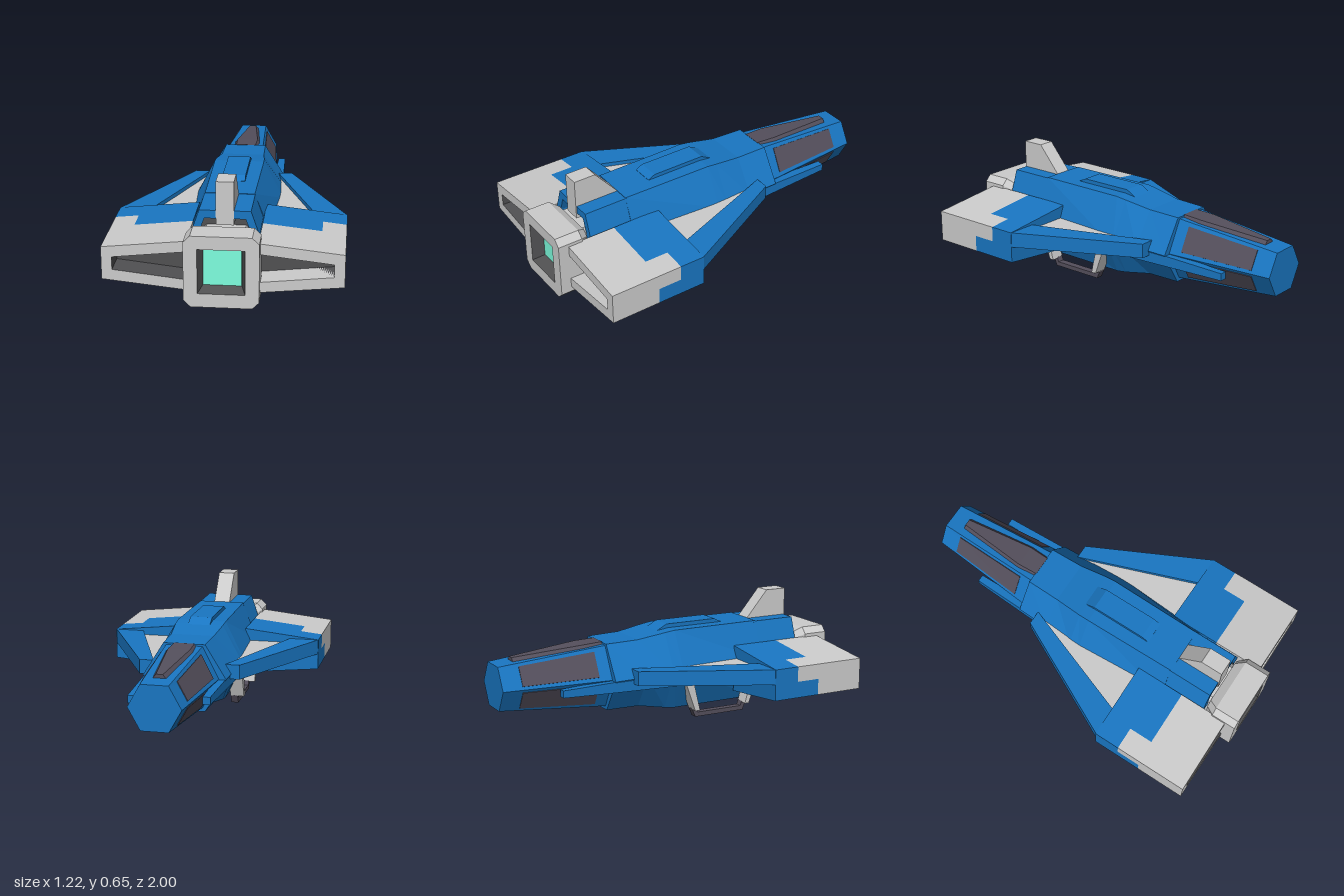
import * as THREE from 'three';

const paint = (color) => new THREE.MeshStandardMaterial({ color, flatShading: true });
const GREY = paint(0xcccccc), BLUE = paint(0x1976c2), DARK = paint(0x505052);
const SMOKE = paint(0x544f5c), GLOW = paint(0x7dfede);

// Flat-faced solid through convex [x, y] outlines at rising z; inward makes an open pocket.
function loft(sections, inward = false) {
  const pos = [];
  const tri = (a, b, c) => pos.push(...a, ...(inward ? [...c, ...b] : [...b, ...c]));
  const rings = sections.map(([z, pts]) => {
    let area = 0;
    pts.forEach((p, i) => { const q = pts[(i + 1) % pts.length]; area += p[0] * q[1] - q[0] * p[1]; });
    const ring = pts.map(([x, y]) => [x, y, z]);
    return area < 0 ? ring.reverse() : ring;
  });
  for (let k = 0; k + 1 < rings.length; k++) {
    const a = rings[k], b = rings[k + 1], n = a.length;
    for (let i = 0; i < n; i++) {
      const j = (i + 1) % n;
      tri(a[i], a[j], b[j]);
      tri(a[i], b[j], b[i]);
    }
  }
  const first = rings[0], last = rings[rings.length - 1];
  for (let i = 1; i + 1 < first.length; i++) {
    tri(first[0], first[i + 1], first[i]);
    if (!inward) tri(last[0], last[i], last[i + 1]);
  }
  const geo = new THREE.BufferGeometry();
  geo.setAttribute('position', new THREE.Float32BufferAttribute(pos, 3));
  geo.computeVertexNormals();
  return geo;
}

const shapeOf = (pts) => new THREE.Shape(pts.map((p) => new THREE.Vector2(...p)));

// Outline with a hole, running from z0 to z1.
function frame(outer, hole, z0, z1) {
  const shape = shapeOf(outer);
  shape.holes.push(shapeOf(hole));
  return new THREE.ExtrudeGeometry(shape, { depth: z1 - z0, bevelEnabled: false }).translate(0, 0, z0);
}

// Side outline in [z, y], spanning x0 to x1.
const sideSlab = (pts, x0, x1) =>
  new THREE.ExtrudeGeometry(shapeOf(pts), { depth: x1 - x0, bevelEnabled: false })
    .rotateY(-Math.PI / 2).translate(x1, 0, 0);

const rect = (x0, x1, y0, y1) => [[x0, y0], [x1, y0], [x1, y1], [x0, y1]];
const hex = (w, flat, y0, mid, y1) =>
  [[-flat, y0], [flat, y0], [w, mid], [flat, y1], [-flat, y1], [-w, mid]];
const chamfered = (w, y0, y1, c) => [[-w + c, y0], [w - c, y0], [w, y0 + c], [w, y1 - c],
  [w - c, y1], [-w + c, y1], [-w, y1 - c], [-w, y0 + c]];

export function createModel() {
  const model = new THREE.Group();
  const add = (name, geo, mat) => {
    const mesh = new THREE.Mesh(geo, mat);
    mesh.name = name;
    model.add(mesh);
  };

  // Fuselage and nose
  add('fuselage', loft([
    [-0.39, hex(0.23, 0.115, 0.09, 0.275, 0.46)],
    [-0.2, hex(0.238, 0.12, 0.09, 0.28, 0.465)],
    [-0.04, hex(0.244, 0.135, 0.062, 0.285, 0.49)],
    [0.02, hex(0.245, 0.137, 0.055, 0.285, 0.498)],
    [0.55, hex(0.212, 0.13, 0.055, 0.285, 0.498)],
  ]), BLUE);
  const noseHex = (z) => {
    const t = (z + 1) / 0.61, mix = (a, b) => a + (b - a) * t;
    return hex(mix(0.14, 0.19), mix(0.073, 0.1), mix(0.155, 0.11), 0.275, mix(0.395, 0.45));
  };
  add('nose', loft([[-1, noseHex(-1)], [-0.39, noseHex(-0.39)]]), BLUE);

  // Dark panels on the four sloping nose faces
  for (const edge of [1, 2, 4, 5]) {
    const strip = (z) => {
      const pts = noseHex(z), a = pts[edge], b = pts[(edge + 1) % 6];
      const at = (t) => [a[0] + (b[0] - a[0]) * t, a[1] + (b[1] - a[1]) * t];
      const len = Math.hypot(b[0] - a[0], b[1] - a[1]);
      const lift = ([x, y]) => [x + (b[1] - a[1]) / len * 0.004, y - (b[0] - a[0]) / len * 0.004];
      const p = at(0.12), q = at(0.88);
      return [z, [p, lift(p), lift(q), q]];
    };
    add('nosePanel', loft([strip(-0.89), strip(-0.46)]), SMOKE);
  }

  // Canopy
  const canopy = (z, w, flat, y0, y1) => [z, [[-w, y0], [w, y0], [flat, y1], [-flat, y1]]];
  add('canopy', loft([
    canopy(-0.9, 0.045, 0.018, 0.39, 0.424),
    canopy(-0.5, 0.088, 0.06, 0.42, 0.457),
    canopy(-0.385, 0.08, 0.055, 0.43, 0.462),
  ]), SMOKE);

  // Hump on the back
  add('dorsalHump', loft([
    [-0.05, rect(-0.062, 0.062, 0.47, 0.488)],
    [0.01, rect(-0.062, 0.062, 0.47, 0.52)],
    [0.32, rect(-0.062, 0.062, 0.47, 0.52)],
    [0.36, rect(-0.062, 0.062, 0.47, 0.5)],
  ]), BLUE);

  // Hollow rear housing and tail fin
  const housing = [[-0.175, 0.32], [0.175, 0.32], [0.175, 0.37], [0.132, 0.495], [-0.132, 0.495], [-0.175, 0.37]];
  const bay = [[-0.135, 0.34], [0.135, 0.34], [0.135, 0.37], [0.105, 0.452], [-0.105, 0.452], [-0.135, 0.37]];
  add('rearHousing', frame(housing, bay, 0.54, 0.8), BLUE);
  add('rearBay', loft([[0.72, bay], [0.8, bay]], true), DARK);
  add('tailFin', loft([
    [0.55, rect(-0.046, 0.046, 0.42, 0.498)],
    [0.68, rect(-0.046, 0.046, 0.42, 0.65)],
    [0.805, rect(-0.046, 0.046, 0.42, 0.65)],
  ]), GREY);

  // Engine
  add('engineShaft', loft([[0.5, chamfered(0.13, 0.09, 0.39, 0.03)], [0.83, chamfered(0.13, 0.09, 0.39, 0.03)]]), GREY);
  add('nozzleCollar', loft([[0.81, chamfered(0.155, 0.09, 0.4, 0.03)], [0.86, chamfered(0.19, 0.052, 0.432, 0.035)]]), GREY);
  const mouth = rect(-0.12, 0.12, 0.125, 0.362);
  add('nozzle', frame(chamfered(0.19, 0.052, 0.432, 0.035), mouth, 0.86, 1), GREY);
  const throat = rect(-0.097, 0.097, 0.147, 0.338);
  add('nozzleThroat', loft([[0.93, throat], [1, mouth]], true), DARK);
  add('engineGlow', loft([[0.925, throat], [0.935, throat]]), GLOW);

  for (const s of [1, -1]) {
    const side = s > 0 ? 'left' : 'right';
    const flip = (pts) => pts.map(([x, y]) => [x * s, y]);
    const addLoft = (name, sections, mat, inward) =>
      add(side + name, loft(sections.map(([z, pts]) => [z, flip(pts)]), inward), mat);

    // Wing: thick slab painted in blocks, with an open pocket at the back
    const ROOT = 0.18, TIP = 0.612, SPLIT = 0.25;
    const top = (x) => 0.38 - (x - 0.18) * 0.106;
    const low = (x) => 0.116 + (x - 0.18) * 0.102;
    const upper = (x0, x1) => [[x0, SPLIT], [x1, SPLIT], [x1, top(x1)], [x0, top(x0)]];
    const lower = [[ROOT, low(ROOT)], [TIP, low(TIP)], [TIP, SPLIT], [ROOT, SPLIT]];
    const whole = [[ROOT, low(ROOT)], [TIP, low(TIP)], [TIP, top(TIP)], [ROOT, top(ROOT)]];
    const pocket = [[0.185, 0.172], [0.558, 0.213], [0.558, 0.281], [0.185, 0.322]];
    addLoft('WingLower', [[0.38, lower], [0.66, lower]], BLUE);
    addLoft('WingFront', [[0.38, upper(ROOT, TIP)], [0.525, upper(ROOT, TIP)]], BLUE);
    addLoft('WingInner', [[0.525, upper(ROOT, 0.487)], [0.66, upper(ROOT, 0.487)]], BLUE);
    addLoft('WingCorner', [[0.525, upper(0.487, TIP)], [0.66, upper(0.487, TIP)]], GREY);
    add(side + 'WingRear', frame(flip(whole), flip(pocket), 0.66, 0.94), GREY);
    addLoft('WingPocket', [[0.8, pocket], [0.94, pocket]], DARK, true);

    // Swept leading spar and the web behind it
    addLoft('LeadingSpar', [[-0.28, rect(0.2, 0.28, 0.25, 0.33)], [0.385, rect(0.445, TIP, 0.25, 0.334)]], BLUE);
    addLoft('WingWeb', [[-0.27, rect(0.19, 0.21, 0.27, 0.31)], [0.385, rect(0.19, 0.46, 0.27, 0.31)]], GREY);

    // Cannon along the nose, longer on the left
    addLoft('Cannon', [
      [s > 0 ? -0.75 : -0.69, rect(0.172, 0.212, 0.22, 0.26)],
      [-0.39, rect(0.17, 0.224, 0.213, 0.272)],
      [0.03, rect(0.17, 0.238, 0.205, 0.285)],
    ], BLUE);

    // Landing gear: two slanted struts, a rail and a skid
    const slab = (name, pts, x0, x1, mat) =>
      add(side + name, sideSlab(pts, s > 0 ? x0 : -x1, s > 0 ? x1 : -x0), mat);
    slab('FrontStrut', [[0.03, 0.25], [0.085, 0.25], [0.135, 0.045], [0.105, 0.045]], 0.15, 0.228, GREY);
    slab('RearStrut', [[0.43, 0.045], [0.455, 0.045], [0.49, 0.14], [0.455, 0.14]], 0.15, 0.228, GREY);
    slab('GearRail', [[0.05, 0.235], [0.39, 0.235], [0.39, 0.25], [0.05, 0.25]], 0.18, 0.235, GREY);
    slab('Skid', [[0.125, 0], [0.435, 0], [0.457, 0.05], [0.43, 0.05], [0.42, 0.025],
      [0.138, 0.025], [0.13, 0.05], [0.103, 0.05]], 0.152, 0.192, SMOKE);
  }
  return model;
}
